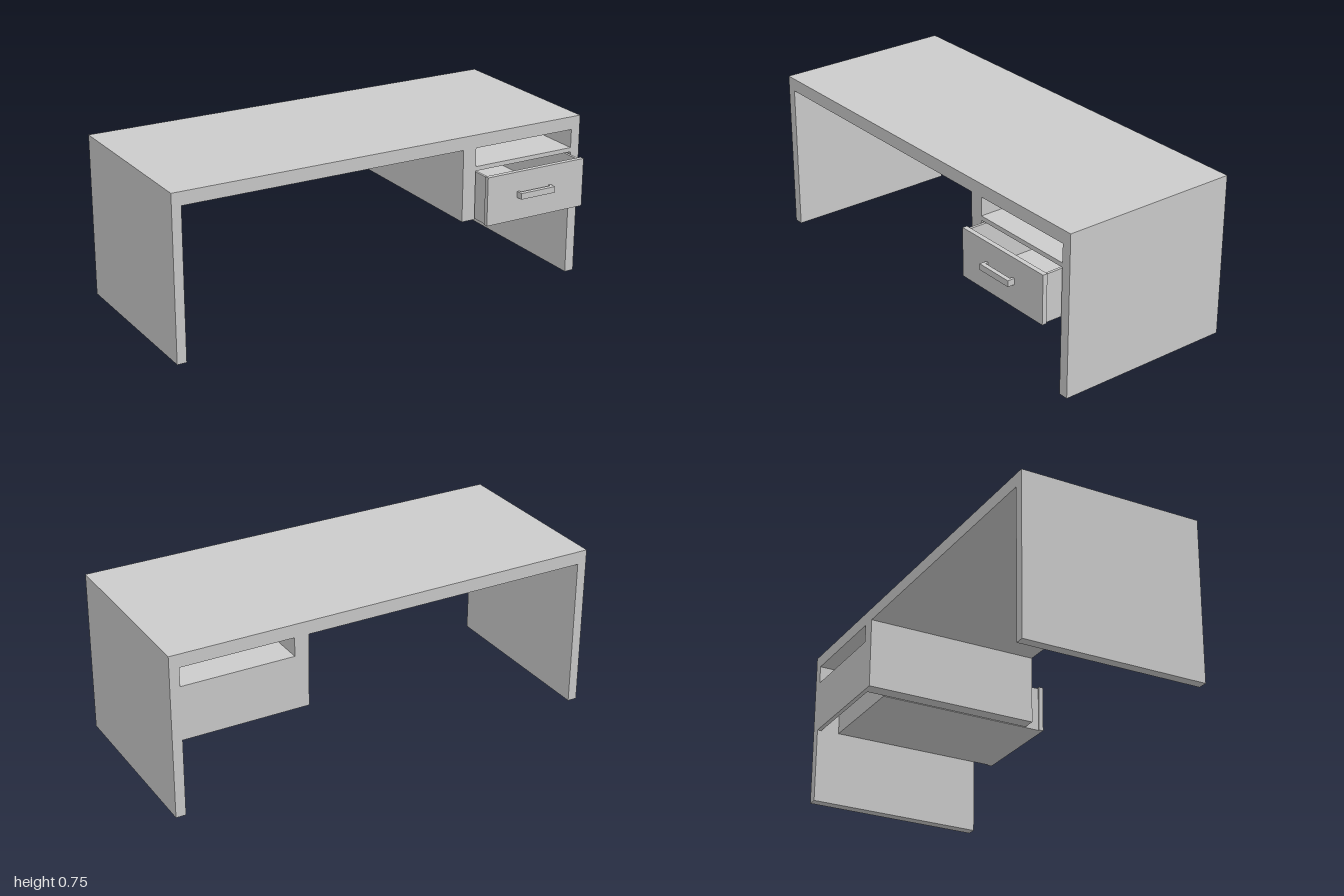
import * as THREE from 'three';

const material = new THREE.MeshStandardMaterial({ color: 0xcccccc, flatShading: true });

// Box given by its extents on each axis
function panel(parent, name, [x0, x1], [y0, y1], [z0, z1]) {
  const mesh = new THREE.Mesh(new THREE.BoxGeometry(x1 - x0, y1 - y0, z1 - z0), material);
  mesh.position.set((x0 + x1) / 2, (y0 + y1) / 2, (z0 + z1) / 2);
  mesh.name = name;
  parent.add(mesh);
}

function group(parent, name) {
  const g = new THREE.Group();
  g.name = name;
  parent.add(g);
  return g;
}

export function createModel() {
  const desk = new THREE.Group();
  desk.name = 'desk';
  const depth = [-0.485, 0.355];

  // Top and full-depth side panels
  panel(desk, 'desktop', [-1, 1], [0.685, 0.745], depth);
  panel(desk, 'rightSidePanel', [-1, -0.957], [0, 0.685], depth);
  panel(desk, 'leftSidePanel', [0.955, 1], [0, 0.685], depth);

  // Hanging drawer housing, open niche above the shelf
  const housing = group(desk, 'drawerHousing');
  panel(housing, 'divider', [0.38, 0.445], [0.355, 0.685], depth);
  panel(housing, 'shelf', [0.445, 0.955], [0.58, 0.6], depth);
  panel(housing, 'backPanel', [0.445, 0.955], [0.355, 0.58], [-0.485, -0.465]);

  // Drawer, pulled slightly forward
  const drawer = group(desk, 'drawer');
  const back = -0.38, front = 0.43;
  panel(drawer, 'drawerFront', [0.445, 0.955], [0.355, 0.578], [front, 0.452]);
  panel(drawer, 'drawerBottom', [0.452, 0.948], [0.355, 0.37], [back, front]);
  panel(drawer, 'drawerBack', [0.464, 0.936], [0.37, 0.572], [back, back + 0.012]);
  for (const [name, x] of [['drawerSideRight', 0.452], ['drawerSideLeft', 0.936]]) {
    panel(drawer, name, [x, x + 0.012], [0.37, 0.572], [back, front]);
  }

  // Bar handle on two short posts
  const handle = group(drawer, 'handle');
  panel(handle, 'handleBar', [0.6, 0.78], [0.46, 0.488], [0.465, 0.485]);
  for (const x of [0.6, 0.768]) {
    panel(handle, 'handlePost', [x, x + 0.012], [0.46, 0.488], [0.452, 0.465]);
  }
  return desk;
}
